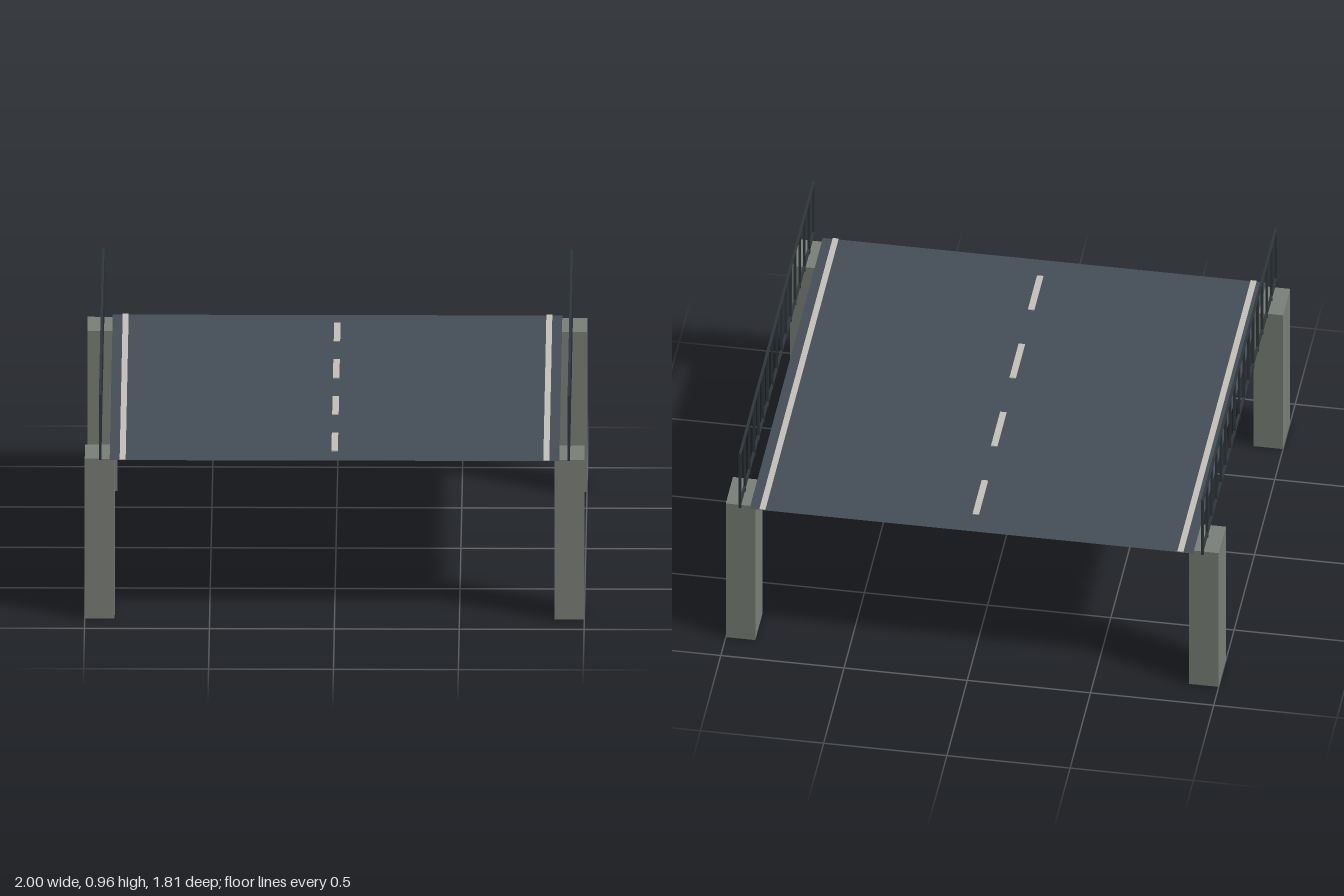
import * as THREE from 'three';

const pillarMat = new THREE.MeshStandardMaterial({ color: 0x7b8079 });
const roadMat = new THREE.MeshStandardMaterial({ color: 0x454f58, side: THREE.DoubleSide });
const paintMat = new THREE.MeshStandardMaterial({ color: 0xc4c2b8 });
const railMat = new THREE.MeshStandardMaterial({ color: 0x30373c });

const DECK_Y = 0.678, HALF = 0.9;

function box(parent, name, mat, size, pos) {
  const mesh = new THREE.Mesh(new THREE.BoxGeometry(...size), mat);
  mesh.name = name;
  mesh.position.set(...pos);
  parent.add(mesh);
  return mesh;
}

// Posts with a top and a bottom rail along one side
function railing(x) {
  const group = new THREE.Group();
  group.name = x > 0 ? 'leftRailing' : 'rightRailing';
  const count = 17, t = 0.01;
  for (let i = 0; i < count; i++) {
    const z = -HALF + (2 * HALF * i) / (count - 1);
    box(group, 'railingPost', railMat, [t, 0.272, t], [x, 0.816, z]);
  }
  box(group, 'topRail', railMat, [t, t, 2 * HALF + t], [x, 0.951, 0]);
  box(group, 'bottomRail', railMat, [t, t, 2 * HALF + t], [x, 0.702, 0]);
  return group;
}

export function createModel() {
  const model = new THREE.Group();
  model.name = 'bridgeSection';

  // Road surface: a thin open sheet
  const deck = new THREE.Mesh(new THREE.PlaneGeometry(2 * HALF, 2 * HALF), roadMat);
  deck.name = 'roadDeck';
  deck.rotation.x = -Math.PI / 2;
  deck.position.y = DECK_Y;
  model.add(deck);

  // Dashed centre line
  for (let i = 0; i < 4; i++) {
    box(model, 'centreDash', paintMat, [0.026, 0.004, 0.225], [0, DECK_Y + 0.003, (i - 1.5) * 0.453]);
  }

  for (const side of [-1, 1]) {
    box(model, 'edgeLine', paintMat, [0.024, 0.004, 2 * HALF], [side * 0.848, DECK_Y + 0.003, 0]);
    model.add(railing(side * 0.938));
    // Corner pillars
    for (const end of [-1, 1]) {
      box(model, 'pillar', pillarMat, [0.12, 0.676, 0.176], [side * 0.94, 0.338, end * 0.79]);
    }
  }
  return model;
}
